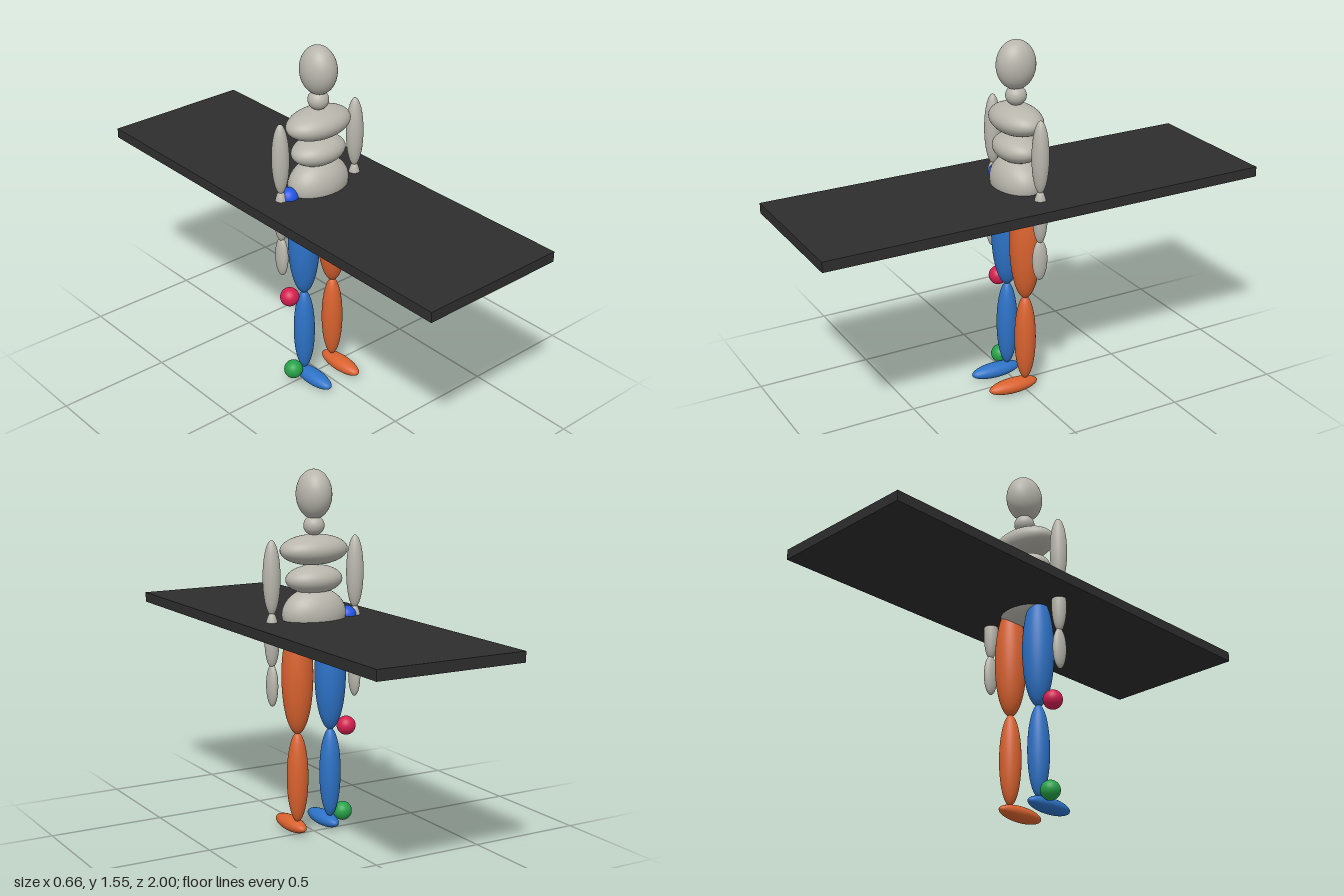
import * as THREE from 'three';

const mat = (name, color) => {
  const m = new THREE.MeshStandardMaterial({ color });
  m.name = name;
  return m;
};

export function createModel() {
  const model = new THREE.Group();
  model.name = 'mannequinWithTable';

  const grey = mat('warmGrey', 0xb8b6ac);
  const orange = mat('orange', 0xd9622f);
  const blue = mat('legBlue', 0x2d72c6);
  const charcoal = mat('charcoal', 0x2e2e2e);
  const brightBlue = mat('markerBlue', 0x2255e6);
  const red = mat('markerRed', 0xd41f50);
  const green = mat('markerGreen', 0x26a24a);

  // Every body part is a unit sphere scaled to an ellipsoid
  const sphere = new THREE.SphereGeometry(1, 40, 28);
  const ellipsoid = (name, material, [x, y, z], [rx, ry, rz]) => {
    const mesh = new THREE.Mesh(sphere, material);
    mesh.name = name;
    mesh.position.set(x, y, z);
    mesh.scale.set(rx, ry, rz);
    model.add(mesh);
  };

  // Head and torso
  ellipsoid('head', grey, [0, 1.449, 0], [0.072, 0.103, 0.085]);
  ellipsoid('neck', grey, [0, 1.32, 0], [0.044, 0.042, 0.044]);
  ellipsoid('chest', grey, [0, 1.22, 0], [0.153, 0.064, 0.099]);
  ellipsoid('waist', grey, [0, 1.097, 0], [0.127, 0.06, 0.09]);
  ellipsoid('pelvis', grey, [0, 0.952, 0], [0.144, 0.11, 0.099]);

  // Arms and legs, mirrored; the right leg is blue, the left orange
  for (const [side, s, leg] of [['left', 1, orange], ['right', -1, blue]]) {
    const arm = 0.2 * s, hip = 0.08 * s;
    ellipsoid(side + 'UpperArm', grey, [arm, 1.115, 0], [0.037, 0.155, 0.036]);
    ellipsoid(side + 'Forearm', grey, [arm, 0.857, 0], [0.031, 0.117, 0.031]);
    ellipsoid(side + 'Hand', grey, [arm, 0.665, 0], [0.022, 0.09, 0.034]);
    ellipsoid(side + 'Thigh', leg, [hip, 0.692, 0], [0.067, 0.25, 0.067]);
    ellipsoid(side + 'Shin', leg, [hip, 0.253, 0], [0.046, 0.197, 0.046]);
    ellipsoid(side + 'Foot', leg, [hip, 0.033, 0.058], [0.04, 0.032, 0.116]);
  }

  // Joint markers beside the right leg
  ellipsoid('hipMarker', brightBlue, [-0.16, 0.931, 0], [0.041, 0.041, 0.041]);
  ellipsoid('kneeMarker', red, [-0.16, 0.45, 0], [0.041, 0.041, 0.041]);
  ellipsoid('ankleMarker', green, [-0.143, 0.07, 0], [0.041, 0.041, 0.041]);

  // Long table top through the hips
  const table = new THREE.Mesh(new THREE.BoxGeometry(0.656, 0.044, 2), charcoal);
  table.name = 'tableTop';
  table.position.y = 0.909;
  model.add(table);

  return model;
}
